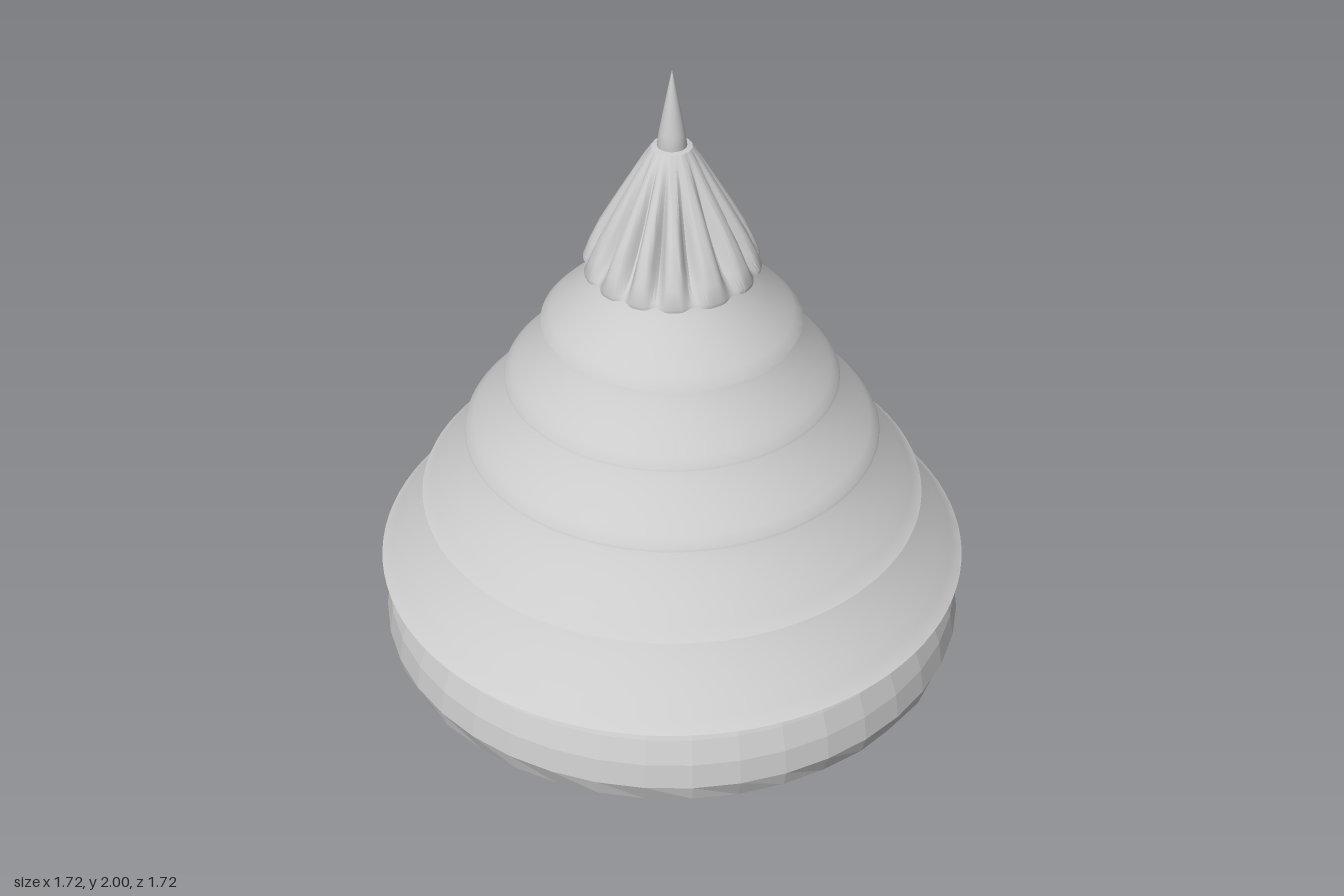
import * as THREE from 'three';
import { toCreasedNormals } from 'three/addons/utils/BufferGeometryUtils.js';

const grey = new THREE.MeshStandardMaterial({ color: 0xcccccc });
const faceted = new THREE.MeshStandardMaterial({ color: 0xcccccc, flatShading: true });

function lathe(points, segments) {
  return new THREE.LatheGeometry(points.map(([r, y]) => new THREE.Vector2(r, y)), segments);
}

function add(group, name, geometry, material = grey) {
  const mesh = new THREE.Mesh(geometry, material);
  mesh.name = name;
  group.add(mesh);
}

// Scale each vertex radius and shift its height by a rule of angle and height
function reshape(geometry, rule) {
  const p = geometry.attributes.position;
  for (let i = 0; i < p.count; i++) {
    const x = p.getX(i), y = p.getY(i), z = p.getZ(i);
    const [scale, lift] = rule(Math.atan2(z, x), y);
    p.setXYZ(i, x * scale, y + lift, z * scale);
  }
  geometry.computeVertexNormals();
  return geometry;
}

export function createModel() {
  const model = new THREE.Group();

  // Rounded, roughly faceted base
  const base = lathe([
    [0, 0.005], [0.25, 0.018], [0.5, 0.04], [0.67, 0.066], [0.78, 0.11], [0.835, 0.155],
    [0.856, 0.215], [0.845, 0.29], [0.82, 0.36], [0.79, 0.42], [0.6, 0.43],
  ], 40);
  add(model, 'base', reshape(base, (a, y) => {
    const low = y > 0.03 && y < 0.18 ? 1 : 0;
    const wave = Math.cos(a * 20) + 0.5 * Math.sin(a * 5);
    return [1 + 0.008 * low * wave, 0.007 * low * wave];
  }), faceted);

  // Flared tiers: rim radius, rim height, top radius, top height, lip thickness
  const tiers = [
    [0.86, 0.415, 0.655, 0.66, 0.003],
    [0.73, 0.633, 0.54, 0.86, 0.003],
    [0.598, 0.838, 0.432, 1.05, 0.016],
    [0.478, 1.022, 0.33, 1.225, 0.014],
    [0.37, 1.205, 0.2, 1.42, 0.012],
  ];
  tiers.forEach(([rim, y0, top, y1, lip], i) => {
    const profile = [[top * 0.85, y0 + 0.005], [rim - 0.015, y0], [rim, y0 + lip * 0.5], [rim - 0.003, y0 + lip]];
    for (let k = 1; k <= 8; k++) {
      const t = k / 8;
      profile.push([
        top + (rim - top) * Math.pow(1 - t, 1.3),
        y0 + lip + (y1 - y0 - lip) * t,
      ]);
    }
    add(model, `tier${i + 1}`, toCreasedNormals(lathe(profile, 96), 0.6));
  });

  // Pleated cap: folds are deepest halfway up and shallow at the hem
  const cap = lathe([
    [0.17, 1.4], [0.225, 1.384], [0.248, 1.39], [0.25, 1.402], [0.232, 1.45], [0.205, 1.51],
    [0.172, 1.57], [0.138, 1.63], [0.104, 1.69], [0.075, 1.74], [0.056, 1.768], [0.036, 1.772],
  ], 168);
  add(model, 'pleatedCap', toCreasedNormals(reshape(cap, (a, y) => {
    const t = THREE.MathUtils.clamp((y - 1.385) / 0.385, 0, 1);
    const valley = Math.pow(Math.abs(Math.cos(a * 7 + 0.35 * Math.sin(a * 3))), 5);
    const depth = 0.02 + 0.2 * Math.sin(Math.PI * Math.pow(t, 0.8));
    return [1 - depth * valley, t < 0.06 ? 0.008 * valley : 0];
  }), 0.7));

  // Pointed finial
  add(model, 'finial', lathe([
    [0.03, 1.7], [0.042, 1.765], [0.036, 1.81], [0.025, 1.87], [0.012, 1.94], [0, 2],
  ], 32));

  return model;
}
